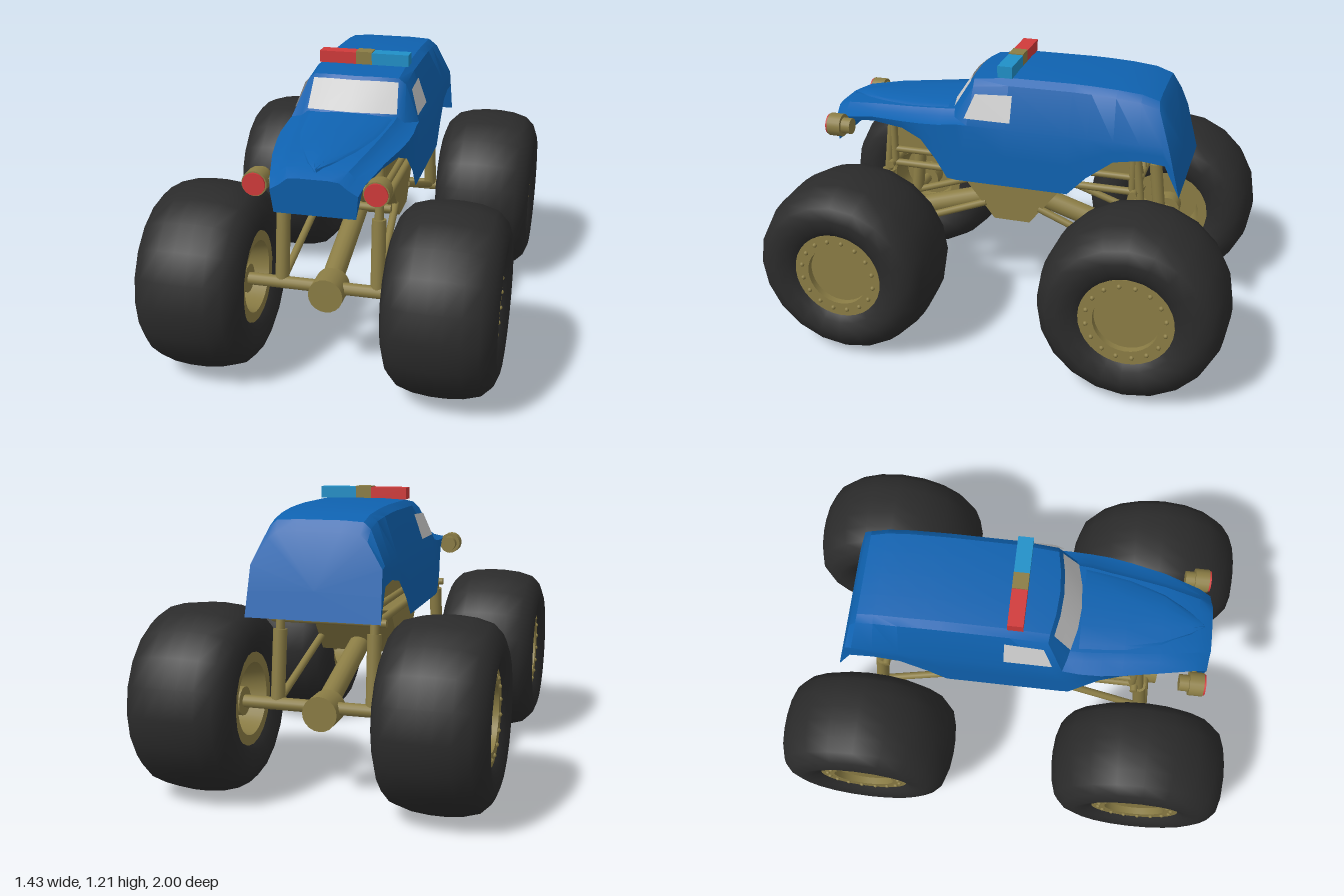
import * as THREE from 'three';
import { toCreasedNormals } from 'three/addons/utils/BufferGeometryUtils.js';

const mat = (color, side = THREE.FrontSide) => new THREE.MeshStandardMaterial({ color, side });
const blue = mat(0x0f62b0, THREE.DoubleSide), metal = mat(0x8b7d45), rubber = mat(0x2b2b2b);
const red = mat(0xd03a3a), cyan = mat(0x2090c8), glass = mat(0xcccccc, THREE.DoubleSide);
const V = (x, y, z) => new THREE.Vector3(x, y, z);

function add(parent, name, geometry, material, x = 0, y = 0, z = 0) {
  const mesh = new THREE.Mesh(geometry, material);
  mesh.name = name;
  mesh.position.set(x, y, z);
  parent.add(mesh);
  return mesh;
}

// Round bar between two points
function bar(parent, name, a, b, r, sides = 14) {
  const m = add(parent, name, new THREE.CylinderGeometry(r, r, a.distanceTo(b), sides), metal);
  m.position.copy(a).add(b).multiplyScalar(0.5);
  m.quaternion.setFromUnitVectors(V(0, 1, 0), b.clone().sub(a).normalize());
}

// Skin over sections running front to back, each going from +x over the top to -x
function loft(rows, capped) {
  const pos = [];
  const tri = (...p) => p.forEach(v => pos.push(v.x, v.y, v.z));
  for (let i = 0; i < rows.length - 1; i++)
    for (let j = 0; j < rows[i].length - 1; j++) {
      const a = rows[i][j], b = rows[i][j + 1], c = rows[i + 1][j], d = rows[i + 1][j + 1];
      tri(a, c, b);
      tri(b, c, d);
    }
  if (capped) [rows[0], rows[rows.length - 1]].forEach((row, end) => {
    const mid = row[0].clone().add(row[row.length - 1]).add(row[(row.length - 1) / 2]).multiplyScalar(1 / 3);
    row.forEach((p, j) => {
      const q = row[(j + 1) % row.length];
      end ? tri(mid, q, p) : tri(mid, p, q);
    });
  });
  const geo = new THREE.BufferGeometry();
  geo.setAttribute('position', new THREE.Float32BufferAttribute(pos, 3));
  return toCreasedNormals(geo, 0.55);
}

// Body section: sill, shoulder and roof heights and half widths, lean and forward bow
function section([zb, zt, yb, wb, ys, ws, yt, wt, bow = 0]) {
  const half = [[wb, yb], [(wb + ws) / 2, (yb + ys) / 2], [ws, ys], [wt, yt - 0.03],
    [wt - 0.03, yt - 0.005], [wt * 0.45, yt], [0, yt]];
  const full = [...half, ...half.slice(0, -1).reverse().map(([x, y]) => [-x, y])];
  return full.map(([x, y]) => {
    const t = (y - yb) / (yt - yb);
    return V(x, y, zb + (zt - zb) * t + bow * t * (1 - (x / ws) ** 2));
  });
}

function buildBody() {
  const body = new THREE.Group();
  body.name = 'body';
  body.position.x = 0.006;
  const rows = [
    [0.815, 0.83, 0.775, 0.16, 0.87, 0.17, 0.925, 0.13],
    [0.775, 0.77, 0.88, 0.175, 0.9, 0.185, 0.95, 0.15],
    [0.62, 0.62, 0.91, 0.215, 0.932, 0.225, 0.97, 0.18],
    [0.47, 0.47, 0.905, 0.245, 0.94, 0.255, 0.982, 0.2],
    [0.38, 0.38, 0.87, 0.262, 0.945, 0.268, 0.99, 0.21],
    [0.31, 0.29, 0.79, 0.274, 0.95, 0.272, 0.998, 0.22, 0.03],
    [0.26, 0.215, 0.71, 0.276, 0.96, 0.27, 1.003, 0.222, 0.06],
    [0.22, 0.13, 0.705, 0.276, 0.96, 0.27, 1.143, 0.21, 0.05],
    [0, 0, 0.705, 0.276, 0.96, 0.27, 1.163, 0.213],
    [-0.27, -0.27, 0.705, 0.276, 0.96, 0.27, 1.165, 0.213],
    [-0.35, -0.35, 0.79, 0.276, 0.96, 0.27, 1.163, 0.213],
    [-0.46, -0.45, 0.875, 0.274, 0.96, 0.27, 1.158, 0.213],
    [-0.57, -0.55, 0.895, 0.274, 0.96, 0.27, 1.148, 0.21],
    [-0.67, -0.62, 0.885, 0.274, 0.96, 0.268, 1.125, 0.205],
    [-0.735, -0.65, 0.75, 0.274, 0.95, 0.266, 1.08, 0.2],
  ].map(section);
  add(body, 'bodyShell', loft(rows, true), blue);

  // Raised hood panel tapering to a point
  const hood = [[0.795, 0.003, 0.938], [0.74, 0.05, 0.953], [0.62, 0.12, 0.968], [0.47, 0.165, 0.98], [0.28, 0.19, 0.998]];
  add(body, 'hoodPanel', loft(hood.map(([z, w, y]) =>
    [-1, -0.85, -0.4, 0, 0.4, 0.85, 1].map((k, i) => V(-k * w, y + [-0.008, 0.007, 0.014, 0.016, 0.014, 0.007, -0.008][i], z)))), blue);

  // Windshield follows the shell between hood and roof
  const glassRow = t => rows[6].slice(4, 9).map((p, j) =>
    p.clone().lerp(rows[7][j + 4], t).add(V(0, 0.004, 0.006)));
  add(body, 'windshield', loft([glassRow(0.05), glassRow(0.88)]), glass);

  // Side windows
  for (const s of [1, -1]) {
    const p = (z, y) => V(s * (0.277 - 0.06 * (y - 0.96) / 0.173), y, z);
    const pane = [[p(0.18, 0.99), p(0.14, 1.09)], [p(-0.02, 0.99), p(-0.02, 1.098)]];
    add(body, 'sideWindow', loft(s > 0 ? pane : pane.map(r => r.reverse())), glass);
  }

  // Roof light bar
  const lamp = (name, x, w, h, m) => add(body, name, new THREE.BoxGeometry(w, h, 0.064), m, x, 1.16 + h / 2, 0.02);
  lamp('redBeacon', -0.11, 0.16, 0.05, red);
  lamp('blueBeacon', 0.118, 0.16, 0.05, cyan);
  lamp('beaconMount', 0.004, 0.07, 0.054, metal);

  // Headlights
  for (const s of [1, -1]) {
    const x = s * 0.235, y = 0.88;
    bar(body, 'headlightHousing', V(x, y, 0.75), V(x, y, 0.81), 0.05, 18);
    bar(body, 'headlightBack', V(x, y, 0.71), V(x, y, 0.75), 0.035, 18);
    bar(body, 'headlightBracket', V(s * 0.14, y, 0.765), V(x, y, 0.765), 0.018);
    const lens = add(body, 'headlightLens', new THREE.CylinderGeometry(0.045, 0.045, 0.012, 18), red, x, y, 0.812);
    lens.rotation.x = Math.PI / 2;
  }
  return body;
}

function buildWheel() {
  const wheel = new THREE.Group();
  wheel.name = 'wheel';
  const lathe = (pts, n) => new THREE.LatheGeometry(pts.map(p => new THREE.Vector2(...p)), n);
  const side = [[0.19, 0.185], [0.22, 0.208], [0.275, 0.222], [0.325, 0.203], [0.362, 0.165], [0.381, 0.1], [0.388, 0.03]];
  const tyre = [...side.map(([r, a]) => [r, -a]), ...side.slice().reverse()];
  add(wheel, 'tyre', lathe(tyre, 20), rubber);
  const rim = [[0, -0.08], [0.13, -0.08], [0.15, -0.187], [0.192, -0.187], [0.192, 0.189],
    [0.133, 0.189], [0.133, 0.16], [0, 0.16]];
  add(wheel, 'rim', toCreasedNormals(lathe(rim, 32), 0.5), metal);
  for (let i = 0; i < 16; i++) {
    const a = (i + 0.5) * Math.PI / 8;
    add(wheel, 'rimBolt', new THREE.SphereGeometry(0.01, 8, 6), metal, 0.162 * Math.cos(a), 0.189, 0.162 * Math.sin(a));
  }
  return wheel;
}

function buildChassis() {
  const chassis = new THREE.Group();
  chassis.name = 'chassis';
  // Tapered belly pan
  const pan = new THREE.Shape([[-0.25, 0.71], [-0.08, 0.49], [0.08, 0.49], [0.25, 0.71]].map(p => new THREE.Vector2(...p)));
  const panGeo = new THREE.ExtrudeGeometry(pan, { depth: 0.36, bevelEnabled: false });
  add(chassis, 'bellyPan', panGeo, metal, -0.18, 0, 0).rotation.y = Math.PI / 2;
  add(chassis, 'floor', new THREE.BoxGeometry(0.38, 0.1, 1.06), metal, 0, 0.84, 0);

  for (const s of [1, -1]) {
    const x = s * 0.2;
    bar(chassis, 'lowerRail', V(x, 0.715, -0.54), V(x, 0.715, 0.54), 0.016);
    bar(chassis, 'upperRail', V(x, 0.78, -0.54), V(x, 0.78, 0.54), 0.014);
  }

  for (const f of [1, -1]) {
    const z = f * 0.61, y = 0.375;
    bar(chassis, 'crossBar', V(-0.24, 0.715, f * 0.54), V(0.24, 0.715, f * 0.54), 0.016);
    // Axle, differential and drive shaft
    bar(chassis, 'axle', V(-0.42, y, z), V(0.42, y, z), 0.026);
    bar(chassis, 'differential', V(0, 0.362, z - 0.06), V(0, 0.362, z + 0.06), 0.072, 20);
    bar(chassis, 'driveShaft', V(0, 0.37, z), V(0, 0.53, f * 0.1), 0.045, 16);
    for (const s of [1, -1]) {
      const x = s * 0.2;
      bar(chassis, 'axleHub', V(s * 0.34, y, z), V(s * 0.42, y, z), 0.06, 16);
      bar(chassis, 'trailingLink', V(x, y, z), V(s * 0.17, 0.56, f * 0.12), 0.016);
      // Shock absorber in two diameters
      const low = V(x, 0.39, f * 0.6), top = V(s * 0.195, 0.9, f * 0.54), mid = low.clone().lerp(top, 0.56);
      bar(chassis, 'shockBody', low, mid, 0.029);
      bar(chassis, 'shockRod', mid, top, 0.018);
      bar(chassis, 'framePost', V(x, 0.7, f * 0.53), V(x, 0.9, f * 0.53), 0.016);
      bar(chassis, 'brace', V(s * 0.03, 0.715, f * 0.54), V(s * 0.08, 0.82, f * 0.53), 0.012);
    }
  }
  return chassis;
}

export function createModel() {
  const truck = new THREE.Group();
  truck.name = 'monsterTruck';
  truck.add(buildBody(), buildChassis());
  for (const s of [1, -1]) for (const f of [1, -1]) {
    const wheel = buildWheel();
    wheel.position.set(s * 0.492, 0.388, f * 0.612);
    wheel.rotation.z = -s * Math.PI / 2;
    truck.add(wheel);
  }
  return truck;
}
